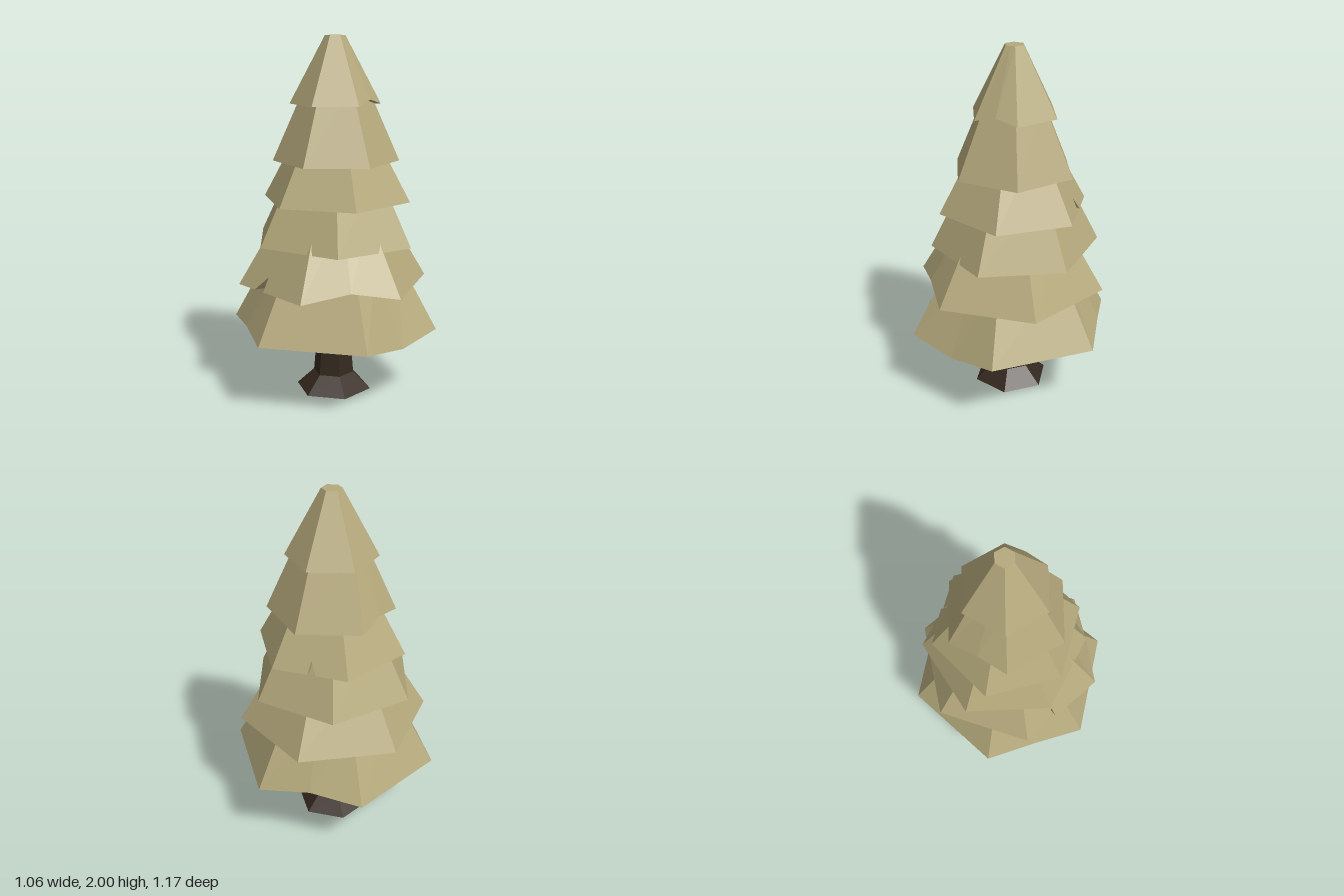
import * as THREE from 'three';

const needles = new THREE.MeshStandardMaterial({ color: 0xb5a97c, flatShading: true });
const bark = new THREE.MeshStandardMaterial({ color: 0x35291f, flatShading: true });

// Each tier: rim height y, tier height h, rim radius r, top radius top, turn in degrees,
// centre x/z, and cuts in the rim as [edge, position along edge, rise, follows slope].
const TIERS = [
  { y: 0.388, h: 0.42, r: 0.587, top: 0.355, turn: 30, x: 0, z: 0,
    cuts: [[1, 0.5, 0.027], [3, 0.5, 0.04], [5, 0.5, -0.038]] },
  { y: 0.643, h: 0.42, r: 0.535, top: 0.285, turn: 6, x: 0, z: 0,
    cuts: [[0, 0.5, 0.047], [1, 0.59, 0], [1, 0.6, 0.077, true], [1, 0.73, 0]] },
  { y: 0.876, h: 0.42, r: 0.47, top: 0.26, turn: -15, x: -0.014, z: -0.02, tilt: -0.017, cuts: [] },
  { y: 1.104, h: 0.42, r: 0.42, top: 0.19, turn: -27, x: 0, z: -0.02,
    cuts: [[4, 0.42, 0], [4, 0.5, 0.07, true], [4, 0.53, 0]] },
  { y: 1.319, h: 0.42, r: 0.35, top: 0.165, turn: 17, x: 0, z: -0.02, cuts: [[2, 0.5, 0.035]] },
  { y: 1.632, h: 0.368, r: 0.25, top: 0.055, turn: 17, x: -0.007, z: -0.02, cuts: [[5, 0.5, 0.03]] },
];

// Skin between successive rings of equal point count.
function loft(rings) {
  const n = rings[0].length;
  const pos = rings.flat().flatMap(p => [p.x, p.y, p.z]);
  const index = [];
  for (let k = 0; k < rings.length - 1; k++) {
    for (let i = 0; i < n; i++) {
      const j = (i + 1) % n, a = k * n, b = a + n;
      index.push(a + i, b + i, a + j, a + j, b + i, b + j);
    }
  }
  const g = new THREE.BufferGeometry();
  g.setAttribute('position', new THREE.Float32BufferAttribute(pos, 3));
  g.setIndex(index);
  const flat = g.toNonIndexed();
  flat.computeVertexNormals();
  return flat;
}

// Hollow six-sided skirt with a thick, irregular rim.
function tierGeometry(t) {
  const stops = [];
  for (let e = 0; e < 6; e++) {
    stops.push([e, 0, 0], ...t.cuts.filter(c => c[0] === e));
  }
  const corner = (e, r, y) => {
    const a = THREE.MathUtils.degToRad(t.turn + 60 * e);
    return new THREE.Vector3(t.x + r * Math.cos(a), y, t.z + r * Math.sin(a));
  };
  const at = (e, s, r, y) => corner(e, r, y).lerp(corner(e + 1, r, y), s);
  const ring = (r, y) => stops.map(([e, s]) => at(e, s, r, y));
  const rim = (r, top) => stops.map(([e, s, rise, sloped]) => {
    const radius = sloped ? r + (top - r) * rise / t.h : r;
    const p = at(e, s, radius, t.y + rise);
    p.y += (t.tilt || 0) * p.x;
    return p;
  });
  const yTop = t.y + t.h, yIn = yTop - 0.06;
  const inner = t.top * 0.85;
  return loft([
    ring(0, yIn), ring(inner, yIn), rim(t.r * 0.83, inner),
    rim(t.r, t.top), ring(t.top, yTop), ring(0, yTop),
  ]);
}

export function createModel() {
  const tree = new THREE.Group();
  tree.name = 'pineTree';

  const addMesh = (name, geometry, material) => {
    const m = new THREE.Mesh(geometry, material);
    m.name = name;
    tree.add(m);
    return m;
  };

  // Trunk: flared root collar and tapering shaft
  addMesh('rootFlare', new THREE.CylinderGeometry(0.116, 0.215, 0.095, 6), bark).position.y = 0.0475;
  addMesh('trunk', new THREE.CylinderGeometry(0.082, 0.116, 0.385, 6), bark).position.y = 0.2875;

  // Foliage from the ground up
  TIERS.forEach((t, i) => addMesh(`foliageTier${i + 1}`, tierGeometry(t), needles));

  return tree;
}
